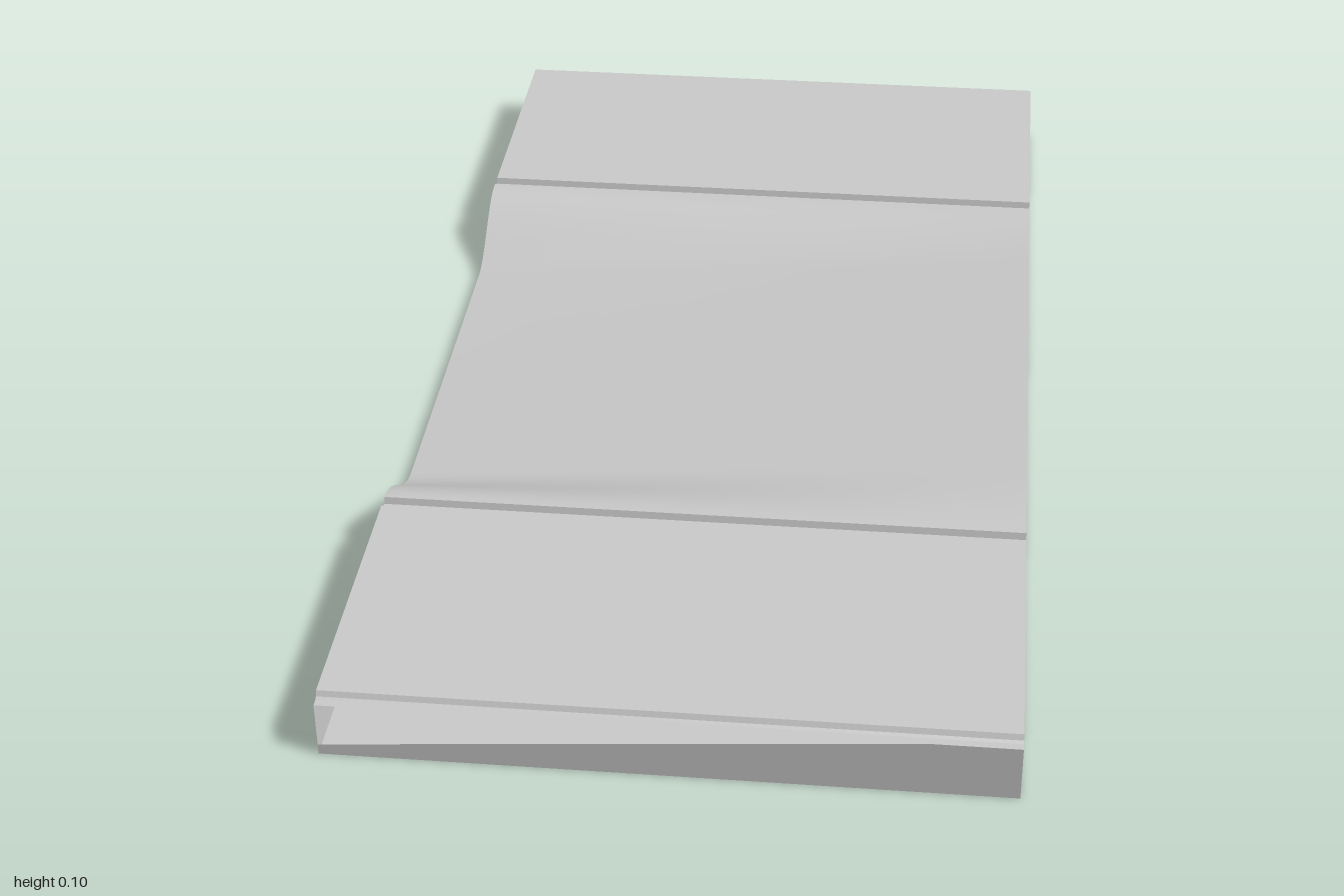
import * as THREE from 'three';
import { toCreasedNormals } from 'three/addons/utils/BufferGeometryUtils.js';

const TOP = 0.1, GROOVE = 0.089, LOW = 0.017;

// Profile along z: [z, height, dip share]; the dip share blends toward the sloping ramp floor.
function buildProfile() {
  const rows = [[-1, TOP, 0], [-0.54, TOP, 0], [-0.537, GROOVE, 0], [-0.525, GROOVE, 0], [-0.515, TOP, 0]];
  const steps = 14, outer = 0.505, inner = 0.32;
  const flare = (t) => t * t * (3 - 2 * t);
  for (let i = 0; i <= steps; i++) {
    const t = i / steps;
    rows.push([-outer + (outer - inner) * t, TOP, flare(t)]);
  }
  for (let i = steps; i >= 0; i--) {
    const t = i / steps;
    rows.push([outer - (outer - inner) * t, TOP, flare(t)]);
  }
  rows.push([0.508, GROOVE, 0], [0.518, GROOVE, 0], [0.528, TOP, 0],
    [0.98, TOP, 0], [0.984, GROOVE + 0.003, 0], [0.988, GROOVE, 0], [1, GROOVE, 0]);
  return rows;
}

// The ramp floor climbs in a straight line from the low side to the high side.
const rampDrop = (x) => (TOP - LOW) * (0.5 - x);

export function createModel() {
  const group = new THREE.Group();
  const material = new THREE.MeshStandardMaterial({ color: 0xcccccc, side: THREE.DoubleSide });
  const profile = buildProfile();
  const heightAt = (row, x) => row[1] - row[2] * rampDrop(x);

  const add = (name, geometry) => {
    const mesh = new THREE.Mesh(geometry, material);
    mesh.name = name;
    group.add(mesh);
    return mesh;
  };

  // Paved top: panels, joint grooves and flared ramp
  const columns = 8;
  const paving = new THREE.PlaneGeometry(1, 2, columns, profile.length - 1).rotateX(-Math.PI / 2);
  const pos = paving.attributes.position;
  for (let i = 0; i < pos.count; i++) {
    const row = profile[Math.floor(i / (columns + 1))];
    pos.setY(i, heightAt(row, pos.getX(i)));
    pos.setZ(i, row[0]);
  }
  add('pavingTop', toCreasedNormals(paving, Math.PI / 7));

  // Side walls follow the top profile
  for (const [name, x] of [['rightWall', -0.5], ['leftWall', 0.5]]) {
    const shape = new THREE.Shape([
      new THREE.Vector2(-1, 0), new THREE.Vector2(1, 0),
      ...profile.slice().reverse().map((r) => new THREE.Vector2(r[0], heightAt(r, x))),
    ]);
    const wall = new THREE.ShapeGeometry(shape).rotateY(-Math.PI / 2);
    // The shape faces -x here; turn the +x wall outward
    if (x > 0) {
      const index = wall.index.array;
      for (let i = 0; i < index.length; i += 3) [index[i], index[i + 1]] = [index[i + 1], index[i]];
      wall.computeVertexNormals();
    }
    add(name, wall.translate(x, 0, 0));
  }

  // Front wall stops at the ramp slope, leaving a wedge-shaped opening
  const meetX = 0.5 - (TOP - GROOVE) / (TOP - LOW);
  const front = new THREE.Shape([[-0.5, 0], [0.5, 0], [0.5, GROOVE], [meetX, GROOVE], [-0.5, LOW]]
    .map(([x, y]) => new THREE.Vector2(x, y)));
  add('frontWall', new THREE.ShapeGeometry(front)).position.z = 1;

  // Back wall and underside
  add('backWall', new THREE.PlaneGeometry(1, TOP).rotateY(Math.PI)).position.set(0, TOP / 2, -1);
  add('underside', new THREE.PlaneGeometry(1, 2).rotateX(Math.PI / 2));

  return group;
}
